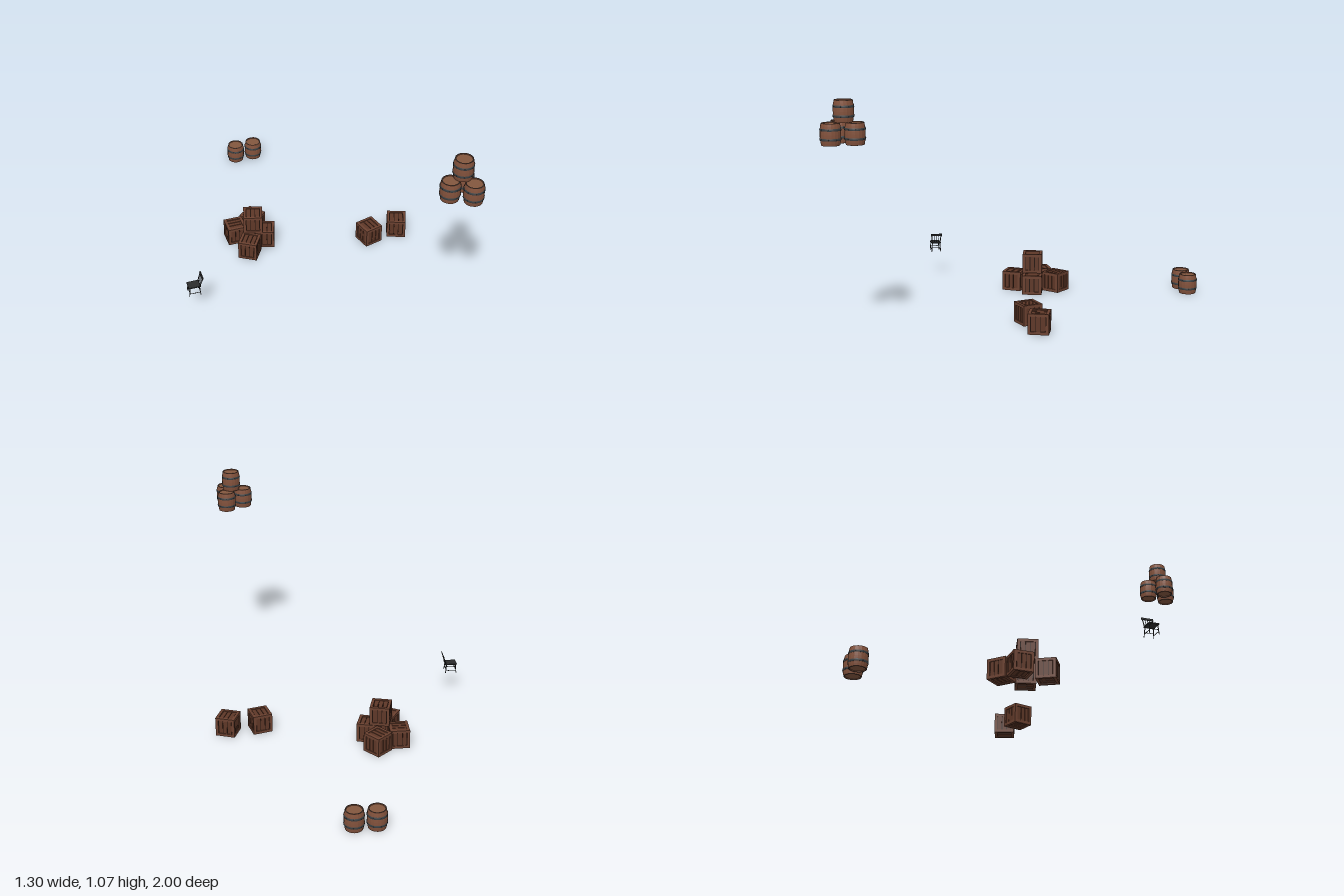
import * as THREE from 'three';

const mat = (color, extra = {}) => new THREE.MeshStandardMaterial({ color, ...extra });
const wood = mat(0x6b4130);
const plank = mat(0x5e3727);
const gapWood = mat(0x23140d);
const stave = mat(0x83523c, { flatShading: true });
const lid = mat(0x83573f);
const iron = mat(0x3a3f42);
const chairWood = mat(0x2b2c2d);

const S = 0.097; // crate edge and barrel height
const UP = new THREE.Vector3(0, 1, 0);

function add(parent, name, geo, material, x = 0, y = 0, z = 0) {
  const mesh = new THREE.Mesh(geo, material);
  mesh.name = name;
  mesh.position.set(x, y, z);
  parent.add(mesh);
  return mesh;
}

// Crate: dark core, twelve edge beams and three planks on every face
function crate() {
  const g = new THREE.Group();
  g.name = 'crate';
  const beam = 0.014, h = S / 2, e = h - beam / 2;
  add(g, 'core', new THREE.BoxGeometry(S - 0.014, S - 0.014, S - 0.014), gapWood, 0, h, 0);
  for (const a of [-e, e]) for (const b of [-e, e]) {
    add(g, 'uprightBeam', new THREE.BoxGeometry(beam, S, beam), wood, a, h, b);
    add(g, 'sideBeam', new THREE.BoxGeometry(S - 2 * beam, beam, beam), wood, 0, h + a, b);
    add(g, 'depthBeam', new THREE.BoxGeometry(beam, beam, S - 2 * beam), wood, a, h + b, 0);
  }
  const faces = [[0, 0], [0, 1], [0, 2], [0, 3], [1, 0], [-1, 0]];
  for (const [rx, ry] of faces) {
    const face = new THREE.Group();
    face.name = 'plankedFace';
    face.position.y = h;
    face.rotation.set(rx * Math.PI / 2, ry * Math.PI / 2, 0);
    for (const x of [-0.0225, 0, 0.0225]) {
      add(face, 'plank', new THREE.BoxGeometry(0.019, S - 2 * beam, 0.004), plank, x, 0, h - 0.0055);
    }
    g.add(face);
  }
  return g;
}

// Barrel: bulging staves with recessed lids, two hoops with rivets
function barrel() {
  const g = new THREE.Group();
  g.name = 'barrel';
  const radius = y => 0.0462 - 0.0052 * (2 * y / S - 1) ** 2;
  const body = [[0.035, 0.004], [0.035, 0]];
  for (let i = 0; i <= 8; i++) body.push([radius(i * S / 8), i * S / 8]);
  body.push([0.036, S], [0.036, S - 0.004]);
  add(g, 'staves', new THREE.LatheGeometry(body.map(p => new THREE.Vector2(...p)), 18), stave);
  add(g, 'lids', new THREE.CylinderGeometry(0.037, 0.037, S - 0.008, 18), lid, 0, S / 2, 0);
  for (const end of [0.0015, S - 0.0015]) {
    const rim = add(g, 'rim', new THREE.TorusGeometry(0.0385, 0.0022, 6, 24), iron, 0, end, 0);
    rim.rotation.x = Math.PI / 2;
  }
  for (const f of [0.28, 0.72]) {
    const y = f * S, w = 0.005;
    const hoop = [[0.043, y - w], [radius(y - w) + 0.0016, y - w], [radius(y + w) + 0.0016, y + w], [0.043, y + w]];
    add(g, 'hoop', new THREE.LatheGeometry(hoop.map(p => new THREE.Vector2(...p)), 24), iron);
    for (let i = 0; i < 8; i++) {
      const a = i * Math.PI / 4, r = radius(y) + 0.0014;
      add(g, 'rivet', new THREE.SphereGeometry(0.0018, 6, 4), iron, r * Math.cos(a), y, r * Math.sin(a));
    }
  }
  return g;
}

// Round bar between two points
function bar(parent, name, a, b, r, r2 = r) {
  const p = new THREE.Vector3(...a), d = new THREE.Vector3(...b).sub(p);
  const m = add(parent, name, new THREE.CylinderGeometry(r2, r, d.length(), 8), chairWood);
  m.position.copy(p).addScaledVector(d, 0.5);
  m.quaternion.setFromUnitVectors(UP, d.normalize());
}

// Spindle-back chair facing -x
function chair() {
  const g = new THREE.Group();
  g.name = 'chair';
  add(g, 'seat', new THREE.BoxGeometry(0.06, 0.005, 0.05), chairWood, 0, 0.049, 0);
  for (const s of [-1, 1]) {
    for (const x of [-1, 1]) {
      bar(g, 'leg', [x * 0.028, 0, s * 0.024], [x * 0.023, 0.048, s * 0.02], 0.0018, 0.0026);
    }
    bar(g, 'sideStretcher', [-0.027, 0.014, s * 0.023], [0.027, 0.014, s * 0.023], 0.0015);
    bar(g, 'backPost', [0.026, 0.05, s * 0.021], [0.042, 0.1, s * 0.025], 0.0024);
  }
  bar(g, 'frontStretcher', [-0.026, 0.022, -0.022], [-0.026, 0.022, 0.022], 0.0015);
  bar(g, 'rearStretcher', [0.026, 0.022, -0.022], [0.026, 0.022, 0.022], 0.0015);
  for (const z of [-0.0105, 0, 0.0105]) {
    bar(g, 'spindle', [0.027, 0.05, z], [0.04, 0.094, z * 1.1], 0.0013);
  }
  const rail = add(g, 'topRail', new THREE.BoxGeometry(0.004, 0.011, 0.058), chairWood, 0.0405, 0.095, 0);
  rail.rotation.z = -0.31;
  return g;
}

export function createModel() {
  const root = new THREE.Group();
  root.name = 'scatteredProps';
  const place = (make, x, y, z, degrees = 0) => {
    const item = make();
    item.position.set(x, y, z);
    item.rotation.y = THREE.MathUtils.degToRad(degrees);
    root.add(item);
  };

  // Crate pile and crate pair
  place(crate, -0.156, 0, -0.335, 75);
  place(crate, -0.037, 0, -0.357, 25);
  place(crate, -0.158, 0, -0.185, -47);
  place(crate, -0.04, 0, -0.226, -33);
  place(crate, -0.094, S, -0.256, -31);
  place(crate, 0.426, 0, 0.053);
  place(crate, 0.583, 0, 0.08, -36);

  // Barrel pair on the ground
  place(barrel, 0.219, 0, -0.953);
  place(barrel, 0.317, 0, -0.926, 20);

  // Raised barrel stack
  const base = 0.877;
  place(barrel, 0.224, base, 0.881);
  place(barrel, 0.322, base, 0.85, 30);
  place(barrel, 0.297, base, 0.953, 15);
  place(barrel, 0.284, base + S - 0.001, 0.887, 10);

  place(chair, -0.617, 0.127, 0.05, -15);
  return root;
}
